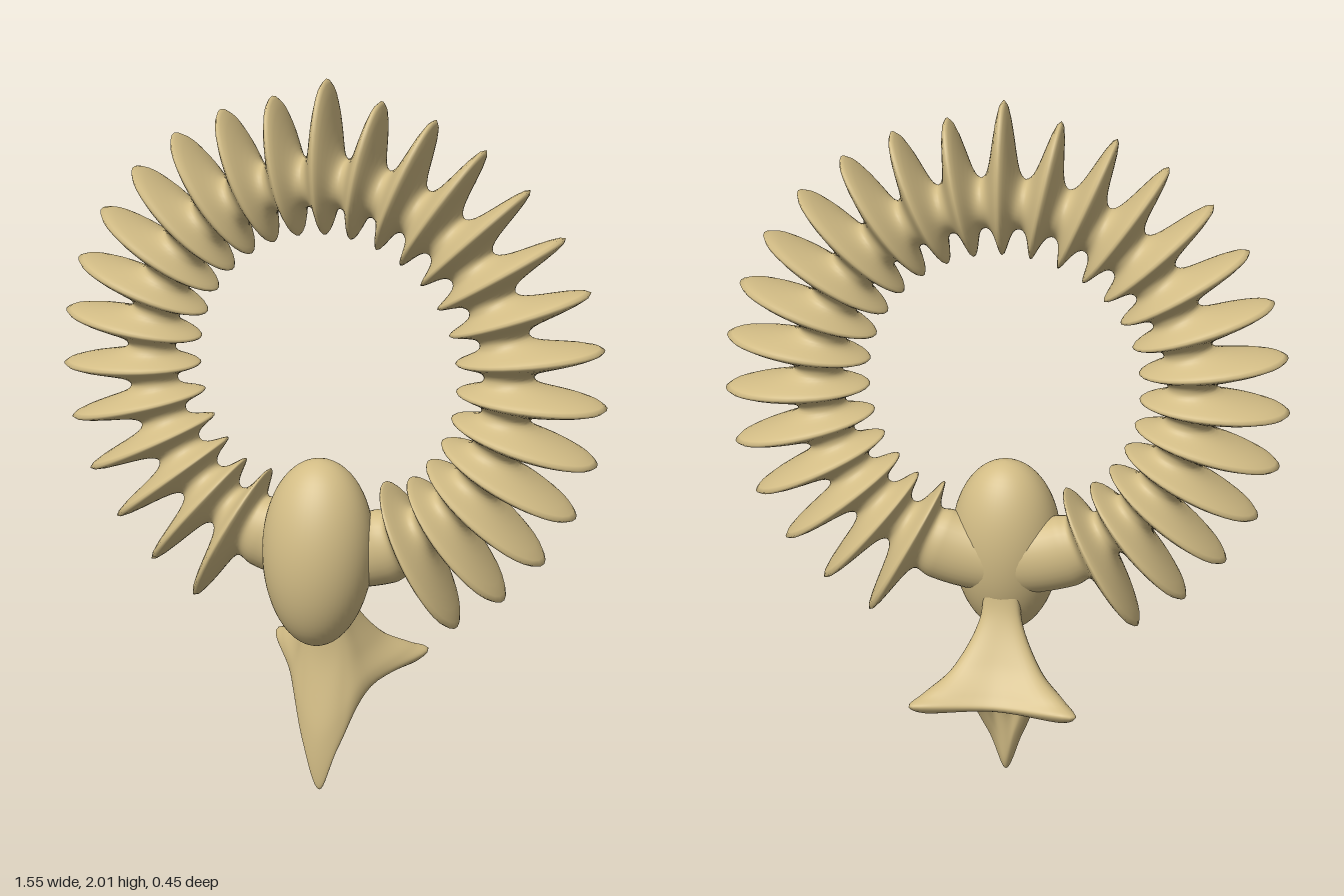
import * as THREE from 'three';

// Grid surface closed in v, optionally closed in u; fn(u, v) gives a point, u and v in 0..1
function surface(nu, nv, closedU, fn) {
  const pos = [], index = [];
  const rows = closedU ? nu : nu + 1;
  for (let i = 0; i < rows; i++)
    for (let j = 0; j < nv; j++) pos.push(...fn(i / nu, j / nv));
  for (let i = 0; i < nu; i++)
    for (let j = 0; j < nv; j++) {
      const i2 = (i + 1) % rows, j2 = (j + 1) % nv;
      const a = i * nv + j, b = i2 * nv + j, c = i * nv + j2, d = i2 * nv + j2;
      index.push(a, b, c, b, d, c);
    }
  const g = new THREE.BufferGeometry();
  g.setAttribute('position', new THREE.Float32BufferAttribute(pos, 3));
  g.setIndex(index);
  g.computeVertexNormals();
  return g;
}

const lerp = THREE.MathUtils.lerp;

// Ring of thin discs flaring smoothly out of a core tube
function ringGeometry() {
  const step = 11.62, discs = 13;
  return surface(558, 32, true, (u, v) => {
    let deg = u * 360;
    const theta = THREE.MathUtils.degToRad(deg);
    if (deg > 180) deg = 360 - deg;
    const n = deg / step;
    const k = Math.min(discs, Math.round(n));
    const flare = Math.exp(-Math.pow((n - k) / 0.23, 2));
    const end = THREE.MathUtils.smoothstep(n, 12.8, 13.8);
    const tipOut = k === 0 ? 0.78 : 0.74 + 0.0042 * k;
    const tipIn = k === discs ? 0.345 : 0.37;
    const outer = lerp(lerp(0.575, 0.62, end), tipOut, flare);
    const inner = lerp(lerp(0.445, 0.41, end), tipIn, flare);
    const depth = lerp(lerp(0.062, 0.08, end), 0.113 + 0.002 * k, flare);
    const phi = v * Math.PI * 2;
    const r = (outer + inner) / 2 + (outer - inner) / 2 * Math.cos(phi);
    return [r * Math.sin(theta), 1.22 + r * Math.cos(theta), 0.012 + 0.0008 * k - depth * Math.sin(phi)];
  });
}

// Egg-shaped body, its lower end leaning forward
function bodyGeometry() {
  const g = new THREE.SphereGeometry(1, 48, 32);
  const p = g.attributes.position;
  for (let i = 0; i < p.count; i++) {
    const s = p.getY(i);
    const w = 0.155 * (1 + 0.05 * s);
    p.setXYZ(i, p.getX(i) * w, 0.715 + 0.265 * s, 0.08 - 0.015 * s + p.getZ(i) * 0.145);
  }
  g.computeVertexNormals();
  return g;
}

// Three-pointed tail: each row is front, front side, side, wing, back (mirrored in x)
const tailRows = [
  [[0, .68, .05], [.04, .68, .035], [.055, .68, 0], [.04, .68, -.03], [0, .68, -.035]],
  [[0, .54, .045], [.04, .53, .03], [.055, .53, -.005], [.055, .54, -.05], [0, .56, -.055]],
  [[0, .38, .042], [.055, .39, .03], [.09, .40, -.01], [.12, .42, -.12], [0, .44, -.115]],
  [[0, .16, .08], [.06, .22, .055], [.115, .32, -.01], [.195, .365, -.185], [0, .365, -.17]],
  [[0, 0, .08], [.055, .13, .06], [.12, .285, -.03], [.232, .34, -.22], [0, .335, -.19]],
  [[0, .03, .05], [.035, .15, .035], [.09, .285, -.04], [.18, .305, -.18], [0, .315, -.16]],
  [[0, .2, .03], [.03, .24, .02], [.045, .3, -.03], [.08, .315, -.1], [0, .335, -.1]],
  [[0, .33, -.04], [0, .33, -.04], [0, .33, -.04], [0, .33, -.04], [0, .33, -.04]],
];

function tailGeometry() {
  const loops = tailRows.map((row) => {
    const half = row.map((p) => new THREE.Vector3(...p));
    const mirrored = half.slice(1, 4).reverse().map((p) => new THREE.Vector3(-p.x, p.y, p.z));
    return new THREE.CatmullRomCurve3([...half, ...mirrored], true, 'catmullrom', 0.5);
  });
  const nv = 64;
  const ribs = [];
  for (let j = 0; j < nv; j++)
    ribs.push(new THREE.CatmullRomCurve3(loops.map((l) => l.getPoint(j / nv)), false, 'catmullrom', 0.5));
  return surface(56, nv, false, (u, v) => ribs[Math.round(v * nv)].getPoint(u).toArray());
}

export function createModel() {
  const group = new THREE.Group();
  group.name = 'discRingOrnament';
  const tan = new THREE.MeshStandardMaterial({ color: 0xd2bc85 });
  tan.name = 'sandy tan';
  const add = (name, geometry) => {
    const mesh = new THREE.Mesh(geometry, tan);
    mesh.name = name;
    group.add(mesh);
  };
  add('discRing', ringGeometry());
  add('eggBody', bodyGeometry());
  add('pointedTail', tailGeometry());
  return group;
}
